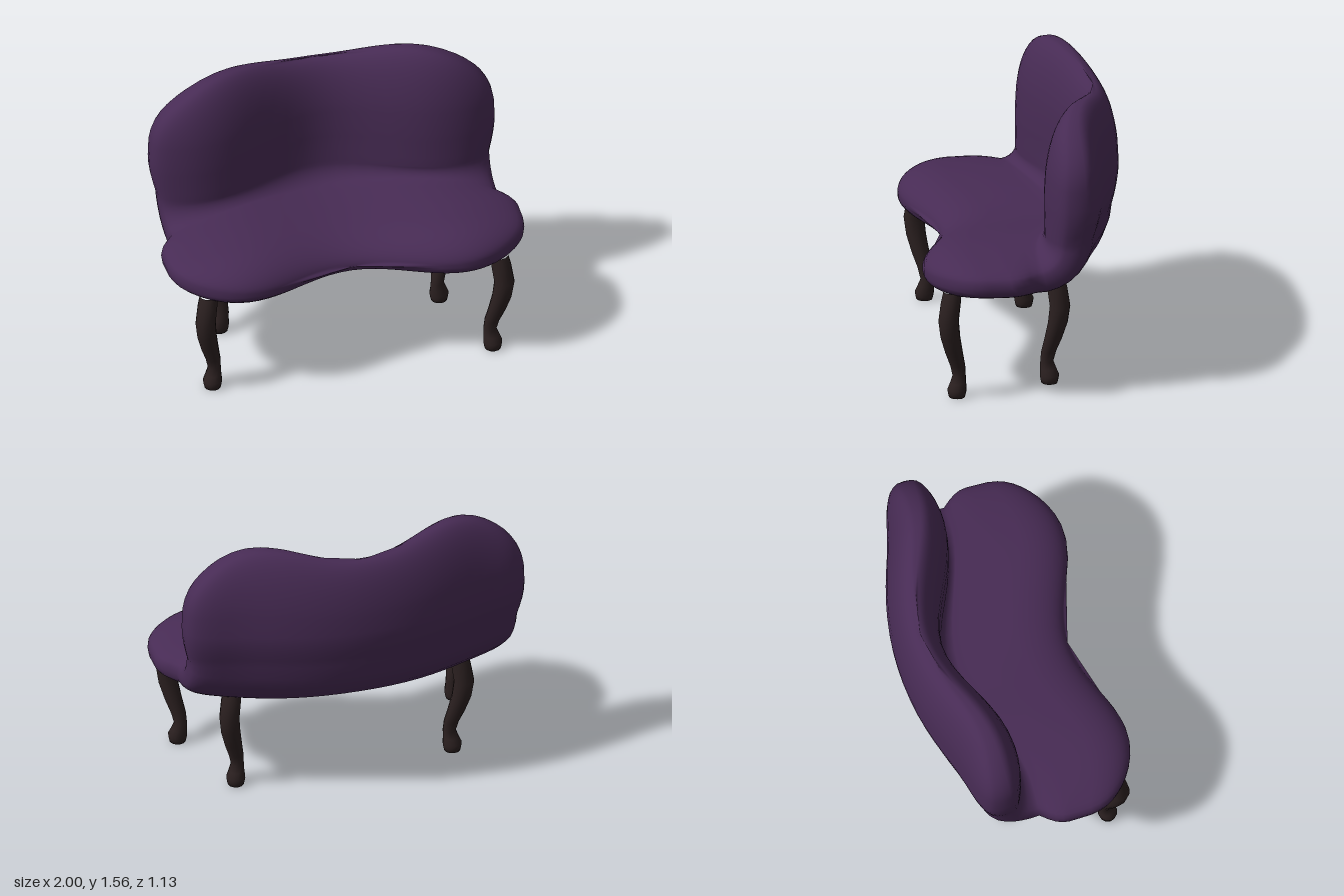
import * as THREE from 'three';

const upholstery = new THREE.MeshStandardMaterial({ color: 0x472b54 });
upholstery.name = 'plum upholstery';
const wood = new THREE.MeshStandardMaterial({ color: 0x2b2020 });
wood.name = 'dark wood';

// Skin a list of closed rings (arrays of Vector3) with smooth normals
function loft(rings) {
  const n = rings[0].length, index = [];
  for (let i = 0; i < rings.length - 1; i++) {
    for (let j = 0; j < n; j++) {
      const k = (j + 1) % n, a = i * n, b = a + n;
      index.push(a + j, b + j, a + k, a + k, b + j, b + k);
    }
  }
  const g = new THREE.BufferGeometry().setFromPoints(rings.flat());
  g.setIndex(index);
  g.computeVertexNormals();
  return g;
}

const { lerp } = THREE.MathUtils;
// Smooth rise from 0 at the middle to 1 at x = half, falling again beyond
const wave = (x, half) => 0.5 * (1 - Math.cos(Math.PI * x / half));
// Same rise, but staying at 1 beyond half
const rise = (x, half) => wave(Math.min(Math.abs(x), half), half);

// Spine of the padded body, from front edge of the seat to top of the back:
// z, y, half width w, half thickness h, upright (0 seat, 1 back), back = share of the rear curve
function bodySpine() {
  const s = [];
  const steps = 14;
  for (let i = 0; i <= steps; i++) {          // rounded front half of the seat
    const a = Math.PI / 2 * (1 - i / steps);
    const q = Math.sin(a) ** 0.5;
    s.push({ z: 0.4 * q, y: 0.688 - 0.018 * q ** 4, w: Math.max(Math.cos(a), 0) ** 0.5,
      h: 0.148 * Math.sqrt(Math.max(0, 1 - q ** 3)), upright: 0, back: 0.35 * (1 - q), top: 0 });
  }
  for (let i = 1; i <= 4; i++) {              // rear half of the seat
    const t = i / 4;
    s.push({ z: -0.22 * t, y: 0.688, w: 1 - 0.08 * t * t, h: 0.148, upright: 0, back: 0.35 + 0.65 * t, top: 0 });
  }
  for (let i = 1; i <= 7; i++) {              // bend between seat and back
    const t = i / 7, a = Math.PI / 2 * t;
    s.push({ z: -0.22 - 0.2 * Math.sin(a), y: 0.888 - 0.2 * Math.cos(a), w: 0.92 + 0.01 * t,
      h: 0.148 - 0.013 * t, upright: t, back: 1, top: 0 });
  }
  for (let i = 1; i <= 4; i++) {              // lower back
    const t = i / 4, e = Math.sin(t * Math.PI / 2);
    s.push({ z: -0.42 - 0.02 * e, y: 0.888 + 0.212 * t, w: 0.93 + 0.035 * e, h: 0.135 + 0.015 * e,
      upright: 1, back: 1, top: 0 });
  }
  for (let i = 1; i <= steps; i++) {          // rounded top of the back
    const a = Math.PI / 2 * i / steps;
    const q = Math.sin(a) ** 0.62;
    s.push({ z: -0.44, y: 1.1 + 0.39 * q, w: 0.965 * Math.max(Math.cos(a), 0) ** 0.62,
      h: 0.15 * Math.sqrt(Math.max(0, 1 - q ** 1.9)), upright: 1, back: 1, top: q });
  }
  return s;
}

function bodyGeometry() {
  const sides = 64;
  return loft(bodySpine().map(p => {
    const ring = [];
    const tilt = p.upright * Math.PI / 2;
    for (let j = 0; j < sides; j++) {
      const a = 2 * Math.PI * j / sides, c = Math.cos(a);
      const x = p.w * c;
      // padding is thinner in the middle; seat and back both curve rearwards there
      const padding = lerp(0.7 + 0.3 * wave(x, 0.65), 0.87 + 0.4 * rise(x, 0.6), p.upright);
      const h = p.h * padding * Math.sign(Math.sin(a)) * Math.max(0, 1 - Math.abs(c) ** 3) ** (1 / 3);
      const shift = lerp(0.178 * wave(x, 0.65), 0.19 * rise(x, 0.8), p.back);
      const sag = 0.012 * (1 - rise(x, 0.65)) * (1 - p.upright);
      ring.push(new THREE.Vector3(
        x - 0.015 * p.upright,
        p.y - sag + h * Math.cos(tilt) + 0.1 * p.top * wave(x, 0.61) ** 1.2,
        p.z + shift + h * Math.sin(tilt)));
    }
    return ring;
  }));
}

// Curved leg: y, outward offset, radius; sx and sz give the outward diagonal
const legProfile = [
  [0.62, 0.028, 0.05], [0.56, 0.038, 0.055], [0.46, 0.052, 0.056], [0.36, 0.041, 0.054],
  [0.26, 0.018, 0.048], [0.18, -0.004, 0.041], [0.12, -0.013, 0.036],
  [0.08, -0.006, 0.044], [0.045, 0, 0.053], [0.02, 0, 0.049], [0, 0, 0.044], [0, 0, 0],
];

function legGeometry(sx, sz) {
  const sides = 12;
  return loft(legProfile.map(([y, o, r]) => Array.from({ length: sides }, (_, j) => {
    const a = -2 * Math.PI * j / sides;
    return new THREE.Vector3(sx * o + r * Math.cos(a), y, sz * o + r * Math.sin(a));
  })));
}

export function createModel() {
  const group = new THREE.Group();
  group.name = 'settee';

  const body = new THREE.Mesh(bodyGeometry(), upholstery);
  body.name = 'paddedSeatAndBack';
  group.add(body);

  // Front legs stand wider apart than the back legs
  for (const [end, x, z, sz] of [['front', 0.785, 0.395, 1], ['back', 0.615, -0.13, -1]]) {
    for (const sx of [1, -1]) {
      const leg = new THREE.Mesh(legGeometry(sx, sz), wood);
      leg.name = end + (sx > 0 ? 'LeftLeg' : 'RightLeg');
      leg.position.set(sx * x, 0, z);
      group.add(leg);
    }
  }
  return group;
}
